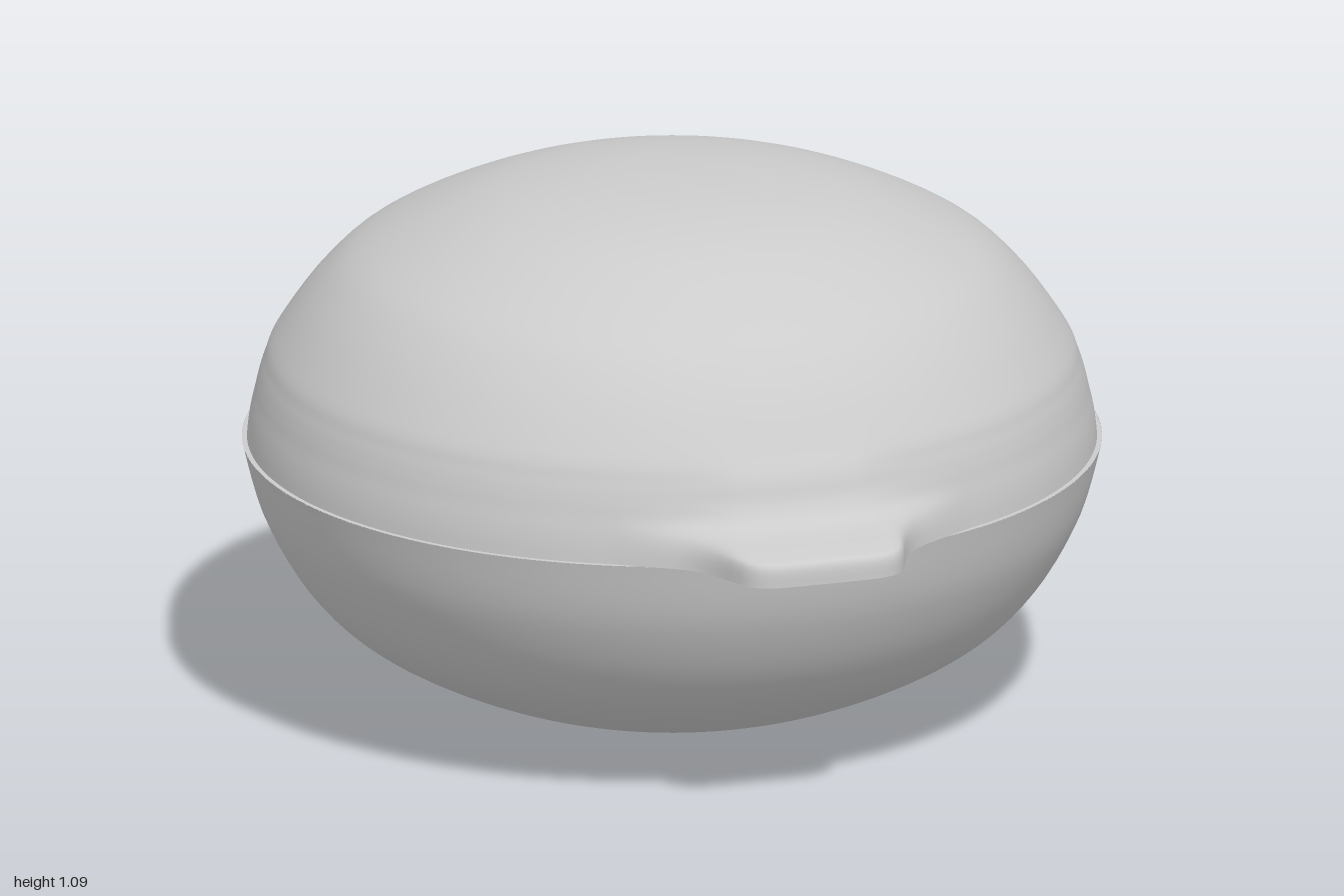
import * as THREE from 'three';

const V = (x, y) => new THREE.Vector2(x, y);
const RIM_Y = 0.55, LID_R = 0.835, BOWL_R = 0.845, COLUMNS = 360;

// Lid profiles (radius, height): shared dome, then the plain edge or the handle lip
const dome = [[0, 1.09], [0.2, 1.08], [0.4, 1.04], [0.6, 0.95], [0.7, 0.865], [0.78, 0.755]];
const plainEdge = [[0.802, 0.705], [0.813, 0.67], [0.82, 0.64], [0.827, 0.61], [0.832, 0.58], [LID_R, RIM_Y]];
const handleLip = [[0.81, 0.71], [0.832, 0.66], [0.87, 0.625], [0.965, 0.603], [0.996, 0.59], [1, RIM_Y]];

// Half outline of one handle seen from above (sideways, outwards)
const handleOutline = new THREE.SplineCurve([
  [0, 1], [0.06, 1], [0.11, 0.997], [0.145, 0.985], [0.167, 0.96], [0.183, 0.92],
  [0.205, 0.875], [0.24, 0.833], [0.3, 0.793], [0.37, 0.749],
].map(([x, z]) => V(x, z))).getPoints(120).map((p) => [Math.atan2(p.x, p.y), p.length()]);

// Rim radius of the lid at a given angle measured from the z axis
function rimRadius(angle) {
  const a = Math.atan2(Math.abs(Math.sin(angle)), Math.abs(Math.cos(angle)));
  const i = handleOutline.findIndex((p) => p[0] > a);
  if (i < 1) return LID_R;
  const [a0, r0] = handleOutline[i - 1], [a1, r1] = handleOutline[i];
  return Math.max(LID_R, r0 + (r1 - r0) * (a - a0) / (a1 - a0));
}

// Closed sweep around y; profileAt(angle) gives the profile from top to bottom
function sweep(profileAt) {
  const positions = [], index = [];
  let rows = 0;
  for (let c = 0; c < COLUMNS; c++) {
    const angle = c / COLUMNS * Math.PI * 2;
    const profile = profileAt(angle);
    rows = profile.length;
    for (const p of profile) positions.push(p.x * Math.sin(angle), p.y, p.x * Math.cos(angle));
  }
  for (let c = 0; c < COLUMNS; c++) {
    const a = c * rows, b = ((c + 1) % COLUMNS) * rows;
    for (let r = 0; r < rows - 1; r++) {
      index.push(a + r, a + r + 1, b + r, b + r, a + r + 1, b + r + 1);
    }
  }
  const geometry = new THREE.BufferGeometry();
  geometry.setAttribute('position', new THREE.Float32BufferAttribute(positions, 3));
  geometry.setIndex(index);
  geometry.computeVertexNormals();
  return geometry;
}

export function createModel() {
  const group = new THREE.Group();
  const material = new THREE.MeshStandardMaterial({ color: 0xcccccc, side: THREE.DoubleSide });
  const add = (name, geometry) => {
    const mesh = new THREE.Mesh(geometry, material);
    mesh.name = name;
    group.add(mesh);
  };

  // Rounded bowl
  const bowlProfile = new THREE.SplineCurve([
    V(0, 0.003), V(0.2, 0.017), V(0.4, 0.065), V(0.6, 0.16), V(0.72, 0.265), V(0.805, 0.41), V(BOWL_R, RIM_Y),
  ]).getPoints(32);
  add('bowl', new THREE.LatheGeometry(bowlProfile, 128));

  // Narrow flat rim of the bowl
  const rim = new THREE.RingGeometry(0.8, BOWL_R, 128);
  rim.rotateX(-Math.PI / 2).translate(0, RIM_Y - 0.001, 0);
  add('bowlRim', rim);

  // Domed lid, flaring into a handle at the front and back
  add('lid', sweep((angle) => {
    const w = (rimRadius(angle) - LID_R) / (1 - LID_R);
    const edge = plainEdge.map(([r, y], i) => V(
      THREE.MathUtils.lerp(r, handleLip[i][0], w),
      THREE.MathUtils.lerp(y, handleLip[i][1], w),
    ));
    return new THREE.SplineCurve([...dome.map(([r, y]) => V(r, y)), ...edge]).getPoints(55);
  }));

  // Flat underside of the lid edge and handles
  add('lidUnderside', sweep((angle) => [V(rimRadius(angle), RIM_Y), V(0.8, RIM_Y)]));

  return group;
}
